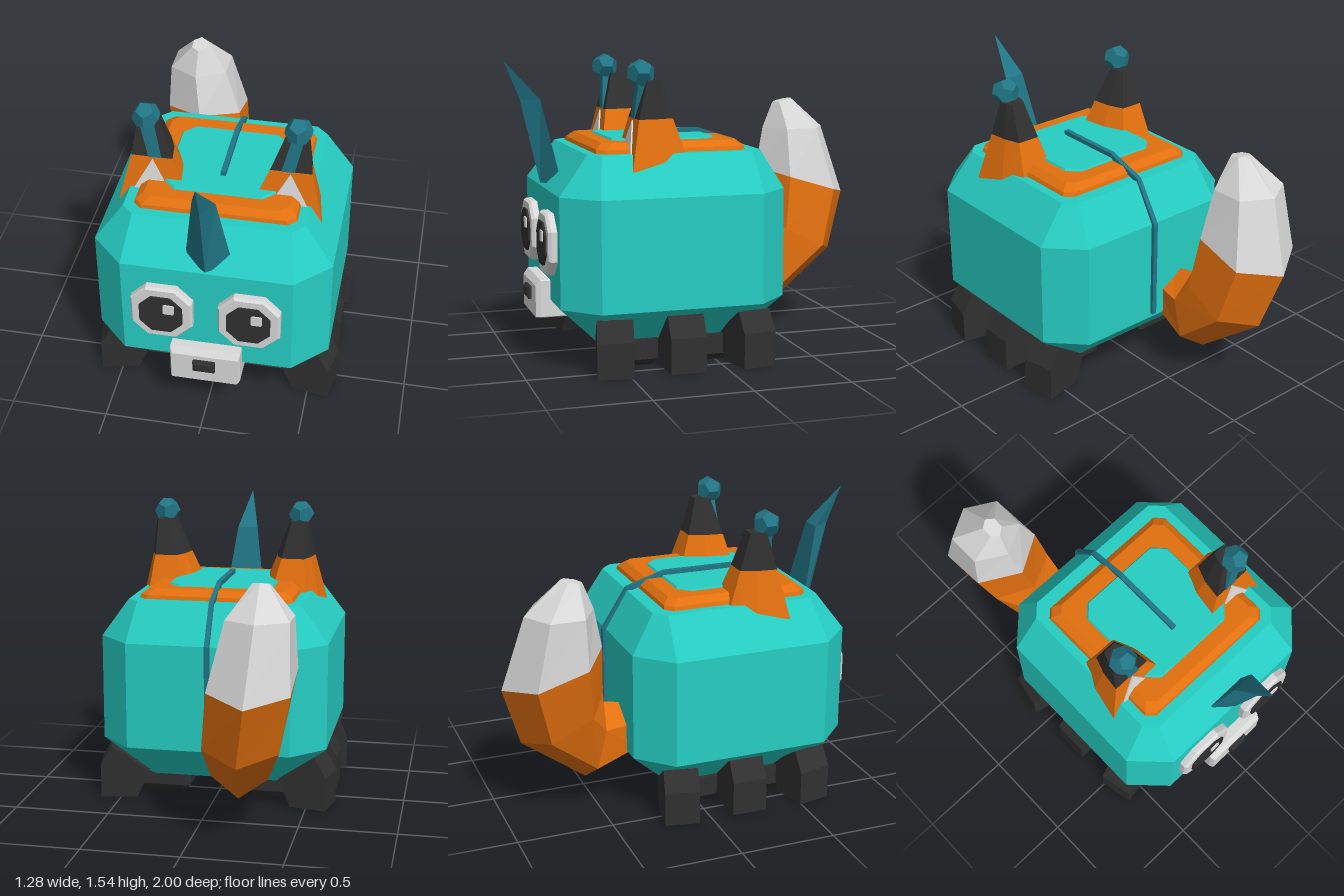
import * as THREE from 'three';

const mat = (name, color) => {
  const m = new THREE.MeshStandardMaterial({ color });
  m.name = name;
  return m;
};

// Skins a list of equal-length closed loops (counter-clockwise about the travel direction), capped at both ends
function loft(rings) {
  const pos = [];
  const tri = (...pts) => pts.forEach(p => pos.push(...p));
  const n = rings[0].length;
  for (let i = 0; i + 1 < rings.length; i++) {
    for (let j = 0; j < n; j++) {
      const k = (j + 1) % n;
      const a = rings[i][j], b = rings[i][k], c = rings[i + 1][k], d = rings[i + 1][j];
      tri(a, b, c);
      tri(a, c, d);
    }
  }
  const first = rings[0], last = rings[rings.length - 1];
  for (let j = 1; j + 1 < n; j++) {
    tri(first[0], first[j + 1], first[j]);
    tri(last[0], last[j], last[j + 1]);
  }
  const g = new THREE.BufferGeometry();
  g.setAttribute('position', new THREE.Float32BufferAttribute(pos, 3));
  g.computeVertexNormals();
  return g;
}

// Mirrors loops across x = 0 and keeps them facing outwards
const mirror = rings => rings.map(r => r.map(([x, y, z]) => [-x, y, z]).reverse());

// Rectangle with cut corners, counter-clockwise
const octagon = (a, b, c) => [
  [a, -b + c], [a, b - c], [a - c, b], [-a + c, b],
  [-a, b - c], [-a, -b + c], [-a + c, -b], [a - c, -b],
];
const flatOct = (y, hx, hz, c, cz) => octagon(hz, hx, c).map(([z, x]) => [x, y, z + cz]);
const faceOct = (z, cx, cy, hx, hy, c) => octagon(hx, hy, c).map(([x, y]) => [x + cx, y + cy, z]);

export function createModel() {
  const teal = mat('teal', 0x26cdc3);
  const darkTeal = mat('dark teal', 0x217585);
  const orange = mat('orange', 0xe2700f);
  const black = mat('charcoal', 0x303030);
  const white = mat('off white', 0xd8d8d8);

  const model = new THREE.Group();
  const add = (name, geometry, material) => {
    const m = new THREE.Mesh(geometry, material);
    m.name = name;
    model.add(m);
    return m;
  };

  // Body, top frame and top panel
  add('body', loft([
    flatOct(0.12, 0.38, 0.38, 0.05, 0.225),
    flatOct(0.32, 0.6, 0.585, 0.17, 0.225),
    flatOct(0.88, 0.6, 0.585, 0.17, 0.225),
    flatOct(1.08, 0.455, 0.45, 0.06, 0.21),
  ]), teal);
  add('topFrame', loft([
    flatOct(1.06, 0.415, 0.395, 0.04, 0.22),
    flatOct(1.1, 0.4, 0.385, 0.04, 0.22),
    flatOct(1.13, 0.36, 0.35, 0.04, 0.22),
  ]), orange);
  add('topPanel', loft([
    flatOct(1.12, 0.288, 0.278, 0.06, 0.225),
    flatOct(1.14, 0.275, 0.265, 0.06, 0.225),
  ]), teal);

  // Cable running up the back and over the top
  const cable = [[0.35, -0.365], [0.88, -0.365], [1.085, -0.235], [1.15, -0.03], [1.15, 0.35]];
  for (let i = 0; i + 1 < cable.length; i++) {
    const [y0, z0] = cable[i], [y1, z1] = cable[i + 1];
    const box = new THREE.BoxGeometry(0.026, 0.026, Math.hypot(y1 - y0, z1 - z0) + 0.01);
    const m = add('cable', box, darkTeal);
    m.position.set(0, (y0 + y1) / 2, (z0 + z1) / 2);
    m.rotation.x = -Math.atan2(y1 - y0, z1 - z0);
  }

  // Horn
  const hornRing = (y, w, zBack, zFront) => [[0, y, zFront], [w, y, zBack], [-w, y, zBack]];
  add('horn', loft([
    hornRing(0.9, 0.118, 0.73, 0.82),
    hornRing(1.33, 0.057, 0.822, 0.917),
    hornRing(1.525, 0.001, 0.994, 0.996),
  ]), darkTeal);

  // Ears
  const earRing = (y, xi, xo, zf, zb, bi, bo) => {
    const zm = zf * 0.45 + zb * 0.55;
    return [[xi, y, zf], [xo, y, zf], [xo * 0.7 + bo * 0.3, y, zm], [bo, y, zb], [bi, y, zb], [xi * 0.7 + bi * 0.3, y, zm]];
  };
  const earBase = earRing(1.0, 0.135, 0.515, 0.46, 0.14, 0.23, 0.44);
  const earMid = earRing(1.25, 0.243, 0.452, 0.41, 0.225, 0.29, 0.41);
  const earTop = earRing(1.44, 0.315, 0.425, 0.36, 0.28, 0.335, 0.405);
  const frontZ = y => 0.46 - 0.2 * (y - 1);
  const innerEar = [0, 0.008].map(d =>
    [[0.25, 1.07], [0.44, 1.07], [0.345, 1.24]].map(([x, y]) => [x, y, frontZ(y) + d]));
  const earStrip = [
    [[0.3, 1.25, 0.4], [0.365, 1.25, 0.4], [0.405, 1.43, 0.34], [0.345, 1.43, 0.34]],
    [[0.3, 1.25, 0.414], [0.365, 1.25, 0.414], [0.405, 1.43, 0.4], [0.345, 1.43, 0.4]],
  ];
  for (const s of [1, -1]) {
    const side = s > 0 ? 'left' : 'right';
    const sided = rings => loft(s > 0 ? rings : mirror(rings));
    add(side + 'EarBase', sided([earBase, earMid]), orange);
    add(side + 'EarTip', sided([earMid, earTop]), black);
    add(side + 'InnerEar', sided(innerEar), white);
    add(side + 'EarStrip', sided(earStrip), darkTeal);
    const ball = add(side + 'EarBall', new THREE.DodecahedronGeometry(0.072), darkTeal);
    ball.position.set(s * 0.375, 1.475, 0.38);

    // Eyes
    const cx = s * 0.22, cy = 0.625;
    add(side + 'EyeRim', loft([
      faceOct(0.79, cx, cy, 0.156, 0.156, 0.08),
      faceOct(0.84, cx, cy, 0.156, 0.156, 0.08),
      faceOct(0.855, cx, cy, 0.146, 0.146, 0.075),
    ]), white);
    add(side + 'Eye', loft([0.85, 0.865].map(z => faceOct(z, cx, cy, 0.109, 0.109, 0.06))), black);
    add(side + 'EyeGlint', loft([0.863, 0.872].map(z => faceOct(z, cx + 0.042, 0.667, 0.028, 0.028, 0.006))), white);

    // Three splayed legs and two inner pads on each side
    const legProfile = [[0.43, 0], [0.625, 0], [0.625, 0.18], [0.565, 0.285], [0.365, 0.145]];
    [[0.56, -0.2], [0.208, 0], [-0.145, 0.2]].forEach(([z, turn], i) => {
      const w = i === 1 ? 0.0925 : 0.09;
      const leg = add(side + ['FrontLeg', 'MiddleLeg', 'BackLeg'][i],
        sided([-w, w].map(d => legProfile.map(([x, y]) => [x - 0.52, y, d]))), black);
      leg.position.set(s * 0.52, 0, z);
      leg.rotation.y = s * turn;
    });
    for (const z of [0.41, 0.01]) {
      add(side + 'InnerPad', sided([
        flatOct(0, 0.105, 0.075, 0.01, z),
        flatOct(0.035, 0.137, 0.1, 0.01, z),
        flatOct(0.14, 0.137, 0.1, 0.01, z),
      ].map(r => r.map(([x, y, pz]) => [x + 0.29, y, pz]))), black);
    }
  }

  // Snout and nose
  add('snout', loft([
    faceOct(0.7, 0, 0.325, 0.18, 0.098, 0.005),
    faceOct(0.86, 0, 0.325, 0.18, 0.098, 0.005),
    faceOct(0.885, 0, 0.31, 0.17, 0.082, 0.005),
  ]), white);
  add('nose', loft([
    faceOct(0.87, 0, 0.335, 0.057, 0.033, 0.004),
    faceOct(0.9, 0, 0.335, 0.057, 0.033, 0.004),
    faceOct(0.91, 0, 0.335, 0.042, 0.02, 0.004),
  ]), black);

  // Tail: each ring spans an inner and an outer point in the y-z plane, with its own x and half width
  const tailRing = ([yi, zi, yo, zo, cx, rx], turn = 0) => Array.from({ length: 6 }, (_, j) => {
    const t = (j + turn) * Math.PI / 3, c = Math.cos(t) / 2;
    return [cx - rx * Math.sin(t), (yi + yo) / 2 + (yo - yi) * c, (zi + zo) / 2 + (zo - zi) * c];
  });
  const tail = [
    [0.53, -0.3, 0.26, -0.28, -0.2, 0.13],
    [0.56, -0.45, 0.15, -0.55, -0.2, 0.17],
    [0.63, -0.46, 0.42, -0.9, -0.25, 0.22],
    [0.9, -0.475, 0.74, -1.0, -0.3, 0.235],
    [1.12, -0.525, 1.12, -0.88, -0.33, 0.18],
    [1.26, -0.58, 1.285, -0.69, -0.325, 0.045],
  ].map(r => tailRing(r));
  add('tail', loft(tail.slice(0, 4)), orange);
  add('tailTip', loft(tail.slice(3)), white);

  return model;
}
